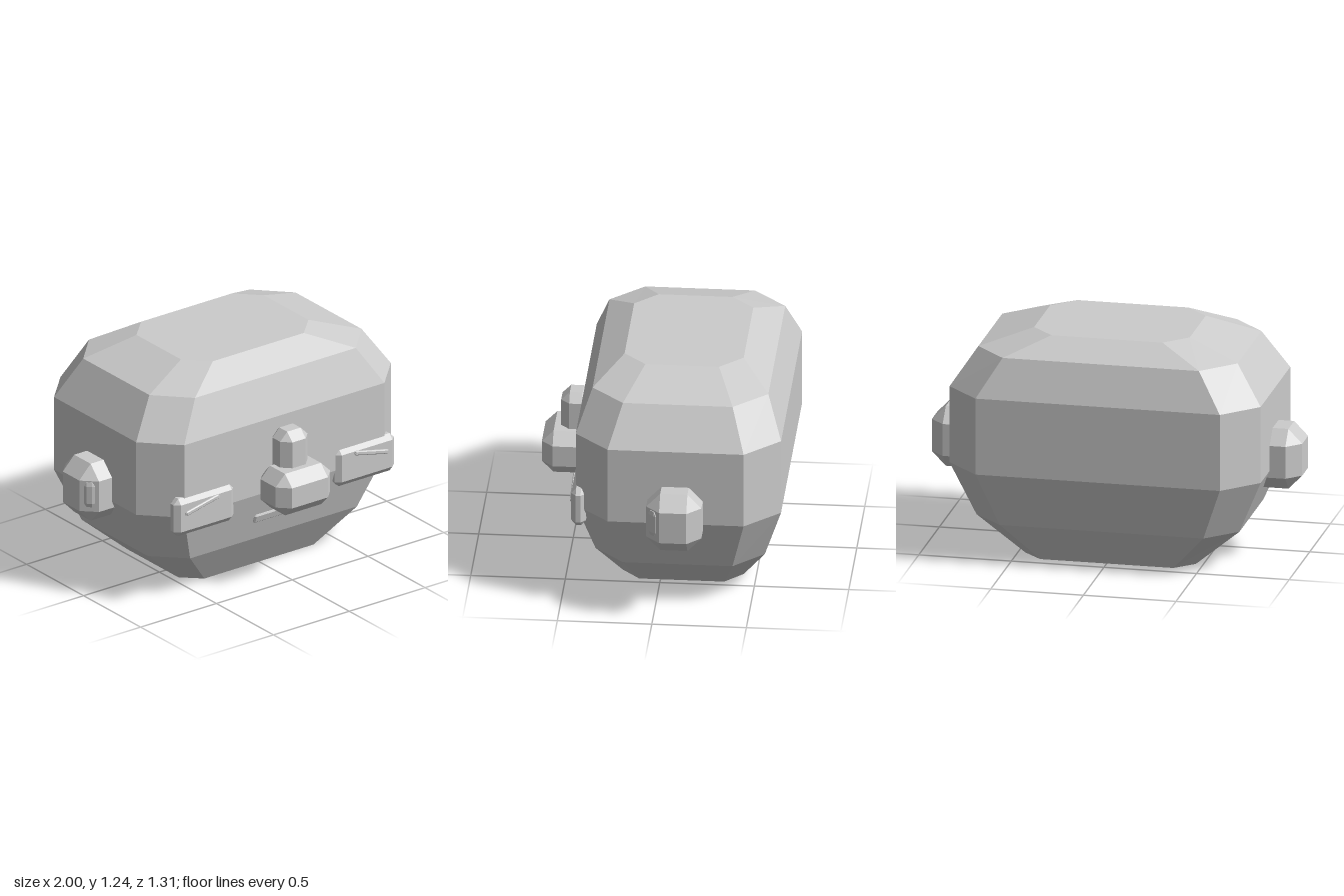
import * as THREE from 'three';
import { ConvexGeometry } from 'three/addons/geometries/ConvexGeometry.js';

const material = new THREE.MeshStandardMaterial({ color: 0xcccccc, flatShading: true });

// Block with every edge cut off; half sizes [x, y, z] and cut depths [x, y, z]
function chamferBlock(name, half, cut, position) {
  const points = [];
  for (let axis = 0; axis < 3; axis++)
    for (const sx of [-1, 1]) for (const sy of [-1, 1]) for (const sz of [-1, 1]) {
      const p = half.map((h, i) => (i === axis ? h : h - cut[i]));
      points.push(new THREE.Vector3(p[0] * sx, p[1] * sy, p[2] * sz));
    }
  const mesh = new THREE.Mesh(new ConvexGeometry(points), material);
  mesh.name = name;
  mesh.position.set(...position);
  return mesh;
}

// Head: stacked octagonal rings, each [y, half x, cut half x, half z, cut half z]
function headGeometry() {
  const rings = [
    [0, 0.46, 0.36, 0.32, 0.225],
    [0.215, 0.71, 0.55, 0.448, 0.29],
    [0.515, 0.84, 0.66, 0.543, 0.36],
    [0.935, 0.84, 0.66, 0.543, 0.36],
    [1.145, 0.7, 0.53, 0.465, 0.29],
    [1.24, 0.42, 0.3, 0.315, 0.195],
  ];
  const cz = -0.112, positions = [], index = [];
  for (const [y, x, xc, z, zc] of rings)
    for (const [px, pz] of [[x, -zc], [x, zc], [xc, z], [-xc, z], [-x, zc], [-x, -zc], [-xc, -z], [xc, -z]])
      positions.push(px, y, pz + cz);
  const top = (rings.length - 1) * 8;
  for (let r = 0; r < top; r += 8)
    for (let i = 0; i < 8; i++) {
      const a = r + i, b = r + (i + 1) % 8;
      index.push(a, a + 8, b, b, a + 8, b + 8);
    }
  // End caps
  for (let i = 1; i < 7; i++) index.push(0, i, i + 1, top, top + i + 1, top + i);
  const geometry = new THREE.BufferGeometry();
  geometry.setAttribute('position', new THREE.Float32BufferAttribute(positions, 3));
  geometry.setIndex(index);
  const flat = geometry.toNonIndexed();
  flat.computeVertexNormals();
  return flat;
}

export function createModel() {
  const model = new THREE.Group();
  model.name = 'blockHead';

  const head = new THREE.Mesh(headGeometry(), material);
  head.name = 'head';
  model.add(head);

  // Nose and its bridge
  model.add(chamferBlock('nose', [0.18, 0.12, 0.128], [0.062, 0.062, 0.062], [0, 0.56, 0.528]));
  model.add(chamferBlock('noseBridge', [0.09, 0.16, 0.08], [0.046, 0.046, 0.046], [0, 0.715, 0.48]));

  // Mouth follows the slope of the chin
  const mouth = chamferBlock('mouth', [0.165, 0.026, 0.014], [0.01, 0.008, 0.006], [0, 0.355, 0.376]);
  mouth.rotation.x = 0.3;
  model.add(mouth);

  for (const [s, side] of [[1, 'left'], [-1, 'right']]) {
    // Eye with a slanted slit, lower at the outer end
    model.add(chamferBlock(side + 'Eye', [0.197, 0.108, 0.039], [0.03, 0.03, 0.026], [s * 0.53, 0.525, 0.413]));
    const slit = chamferBlock(side + 'EyeSlit', [0.113, 0.012, 0.012], [0.008, 0.005, 0.005], [s * 0.558, 0.57, 0.45]);
    slit.rotation.z = -s * 0.22;
    model.add(slit);

    // Ear with a small groove on its front outer corner
    model.add(chamferBlock(side + 'Ear', [0.15, 0.165, 0.146], [0.075, 0.077, 0.074], [s * 0.85, 0.565, -0.11]));
    const groove = chamferBlock(side + 'EarGroove', [0.029, 0.071, 0.012], [0.014, 0.022, 0.006], [s * 0.96, 0.575, -0.001]);
    groove.rotation.y = s * Math.PI / 4;
    model.add(groove);
  }
  return model;
}
